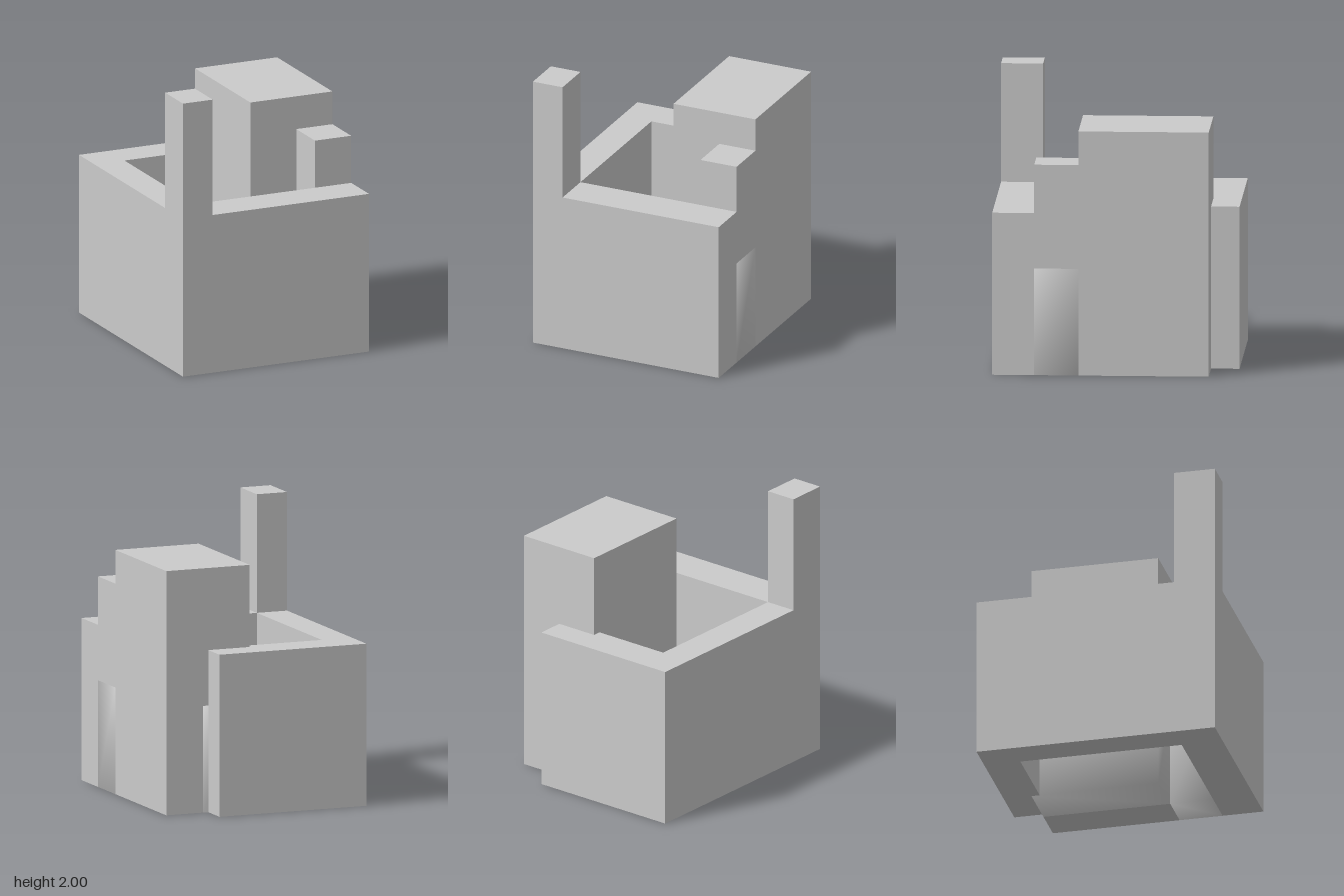
import * as THREE from 'three';
import { mergeVertices } from 'three/addons/utils/BufferGeometryUtils.js';

const material = new THREE.MeshStandardMaterial({ color: 0xcccccc });

export function createModel() {
  const group = new THREE.Group();

  function add(name, geometry) {
    const mesh = new THREE.Mesh(geometry, material);
    mesh.name = name;
    group.add(mesh);
    return mesh;
  }

  // Box given by its extents on each axis
  function block(name, [x0, x1], [y0, y1], [z0, z1], smooth = false) {
    let geometry = new THREE.BoxGeometry(x1 - x0, y1 - y0, z1 - z0);
    if (smooth) {
      // Shared corners give softly shaded faces
      geometry.deleteAttribute('normal');
      geometry.deleteAttribute('uv');
      geometry = mergeVertices(geometry);
      geometry.computeVertexNormals();
    }
    geometry.translate((x0 + x1) / 2, (y0 + y1) / 2, (z0 + z1) / 2);
    add(name, geometry);
  }

  function prism(points, depth) {
    const shape = new THREE.Shape(points.map(([a, b]) => new THREE.Vector2(a, b)));
    return new THREE.ExtrudeGeometry(shape, { depth, bevelEnabled: false });
  }

  // Low wall around the open court: footprint as [x, -z], extruded upwards
  const wall = prism([
    [0.72, -0.86], [0.72, -0.565], [-0.49, -0.565], [-0.49, 0.6], [0.085, 0.6],
    [0.085, 0.66], [0.4, 0.66], [0.4, 0.86], [-0.72, 0.86], [-0.72, -0.86],
  ], 1.155);
  wall.rotateX(-Math.PI / 2);
  add('courtWall', wall);

  // Tower: outer wall with an upper storey reaching inwards
  const tower = prism([
    [0.44, 0], [0.72, 0], [0.72, 1.74], [0.085, 1.74], [0.085, 0.76], [0.44, 0.76],
  ], 0.915);
  tower.translate(0, 0, -0.66);
  add('tower', tower);
  block('towerBase', [0.085, 0.44], [0, 0.76], [-0.66, 0.255], true);

  // Doorway panel and the block above it
  block('doorPanel', [0.44, 0.72], [0, 0.76], [0.255, 0.565], true);
  block('doorLintel', [0.44, 0.72], [0.76, 1.5], [0.255, 0.565]);

  // Tall post on the front corner
  block('cornerPost', [-0.72, -0.49], [1.155, 2], [0.565, 0.86]);

  return group;
}
